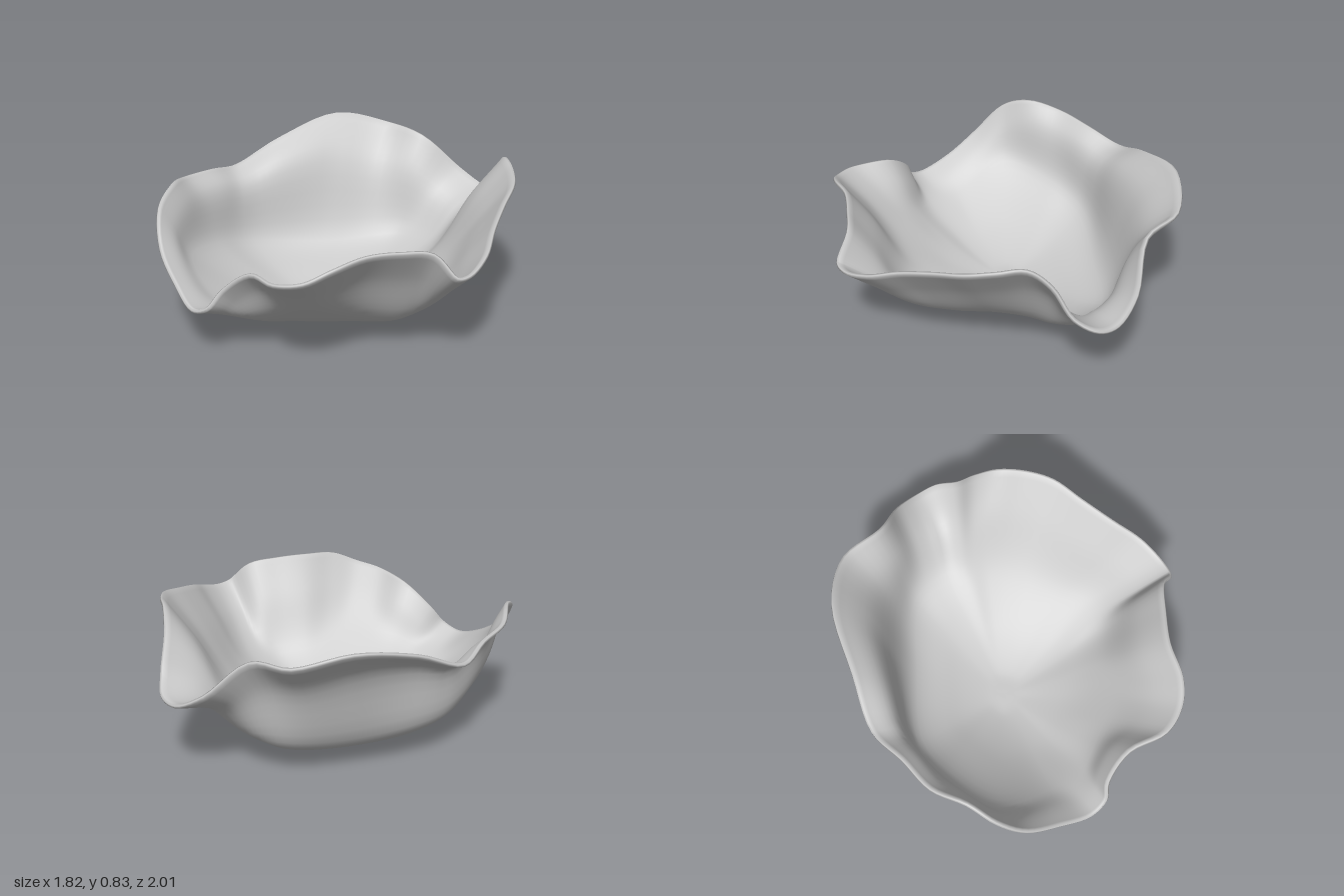
import * as THREE from 'three';

const SEGMENTS = 170;   // steps around the bowl
const ROWS = 32;        // steps from the base to the rim
const THICKNESS = 0.022;

// Wavy rim, from the back lip round by the model's left, the front and its right
const RIM = [
  [0, .46, -1], [.12, .47, -.99], [.22, .54, -.91], [.29, .71, -.82], [.38, .8, -.75],
  [.5, .79, -.67], [.61, .76, -.56], [.69, .71, -.4], [.78, .65, -.23], [.87, .58, -.08],
  [.91, .53, .08], [.9, .54, .17], [.8, .65, .23], [.72, .67, .36], [.64, .67, .52],
  [.6, .64, .7], [.52, .58, .82], [.38, .55, .89], [.17, .53, .87], [.02, .41, .92],
  [-.03, .31, .98], [-.14, .27, 1], [-.32, .34, .97], [-.5, .47, .93], [-.63, .64, .84],
  [-.71, .71, .7], [-.82, .68, .53], [-.86, .66, .32], [-.91, .62, .1], [-.85, .74, -.18],
  [-.76, .83, -.53], [-.57, .77, -.76], [-.33, .74, -.81], [-.16, .55, -.95],
];

// Where floor turns into wall, one point for every second rim point
const SHOULDER = [
  [-.06, .2, -.62], [.04, .21, -.57], [.15, .26, -.49], [.3, .28, -.36], [.44, .24, -.18],
  [.55, .22, -.01], [.52, .19, .14], [.4, .21, .32], [.31, .26, .53], [.11, .24, .69],
  [-.05, .19, .78], [-.25, .19, .77], [-.55, .34, .72], [-.69, .3, .43],
  [-.72, .23, .16], [-.53, .17, -.24], [-.3, .19, -.58],
];

// How strongly the lip folds outward at each shoulder point
const FLARE = [.14, .09, .02, 0, 0, 0, .01, .02, .01, .02, .02, .03, .03, .13, .22, .1, .06];

const ring = (points) =>
  new THREE.CatmullRomCurve3(points.map((p) => new THREE.Vector3(...p)), true, 'centripetal');

// Grid of rows that wrap around, closed without a seam
function gridGeometry(rows) {
  const index = [];
  for (let r = 0; r < rows.length - 1; r++) {
    for (let i = 0; i < SEGMENTS; i++) {
      const j = (i + 1) % SEGMENTS;
      const a = r * SEGMENTS + i, b = r * SEGMENTS + j;
      const c = a + SEGMENTS, d = b + SEGMENTS;
      index.push(a, c, b, b, c, d);
    }
  }
  const geometry = new THREE.BufferGeometry().setFromPoints(rows.flat());
  geometry.setIndex(index);
  geometry.computeVertexNormals();
  return geometry;
}

// Outer skin: one spline from the base to the rim at each step round
function outerRows() {
  const rim = ring(RIM), shoulder = ring(SHOULDER);
  const base = new THREE.Vector3(-.13, 0, .12);
  const rows = Array.from({ length: ROWS + 1 }, () => []);
  for (let i = 0; i < SEGMENTS; i++) {
    const t = i / SEGMENTS;
    const top = rim.getPoint(t), turn = shoulder.getPoint(t);
    top.y -= .012;   // leaves room for the rounded edge
    const k = t * FLARE.length, k0 = Math.floor(k);
    const flare = THREE.MathUtils.lerp(FLARE[k0], FLARE[(k0 + 1) % FLARE.length], k - k0);

    // Nearly flat base, then a gentle rise to the shoulder
    const [foot, floor] = [[.2, .02], [.58, .33]].map(([out, up]) => {
      const p = base.clone().lerp(turn, out);
      p.y = turn.y * up;
      return p;
    });
    const wall = turn.clone().lerp(top, .6 - flare);
    wall.y = THREE.MathUtils.lerp(turn.y, top.y, .6 + flare);

    const meridian = new THREE.CatmullRomCurve3([base, foot, floor, turn, wall, top]);
    for (let r = 0; r <= ROWS; r++) rows[r].push(meridian.getPoint(r / ROWS));
  }
  return rows;
}

export function createModel() {
  const model = new THREE.Group();
  model.name = 'crumpledBowl';

  // Inner skin, offset from the outer one along its normals
  const outer = outerRows();
  const normals = gridGeometry(outer).getAttribute('normal');
  const inner = outer.map((row, r) => row.map((p, i) => {
    const n = new THREE.Vector3(0, -1, 0);
    if (r > 0) n.fromBufferAttribute(normals, r * SEGMENTS + i);
    return p.clone().addScaledVector(n, -THICKNESS);
  }));

  // Rounded edge between the two skins
  const edge = outer[ROWS].map((p, i) => {
    const outward = p.clone().sub(outer[ROWS - 1][i]).normalize();
    return p.clone().lerp(inner[ROWS][i], .5).addScaledVector(outward, .006);
  });

  const shell = new THREE.Mesh(
    gridGeometry([...outer, edge, ...inner.reverse()]),
    new THREE.MeshStandardMaterial({ color: 0xcccccc, side: THREE.DoubleSide }),
  );
  shell.name = 'bowlShell';
  model.add(shell);
  return model;
}
